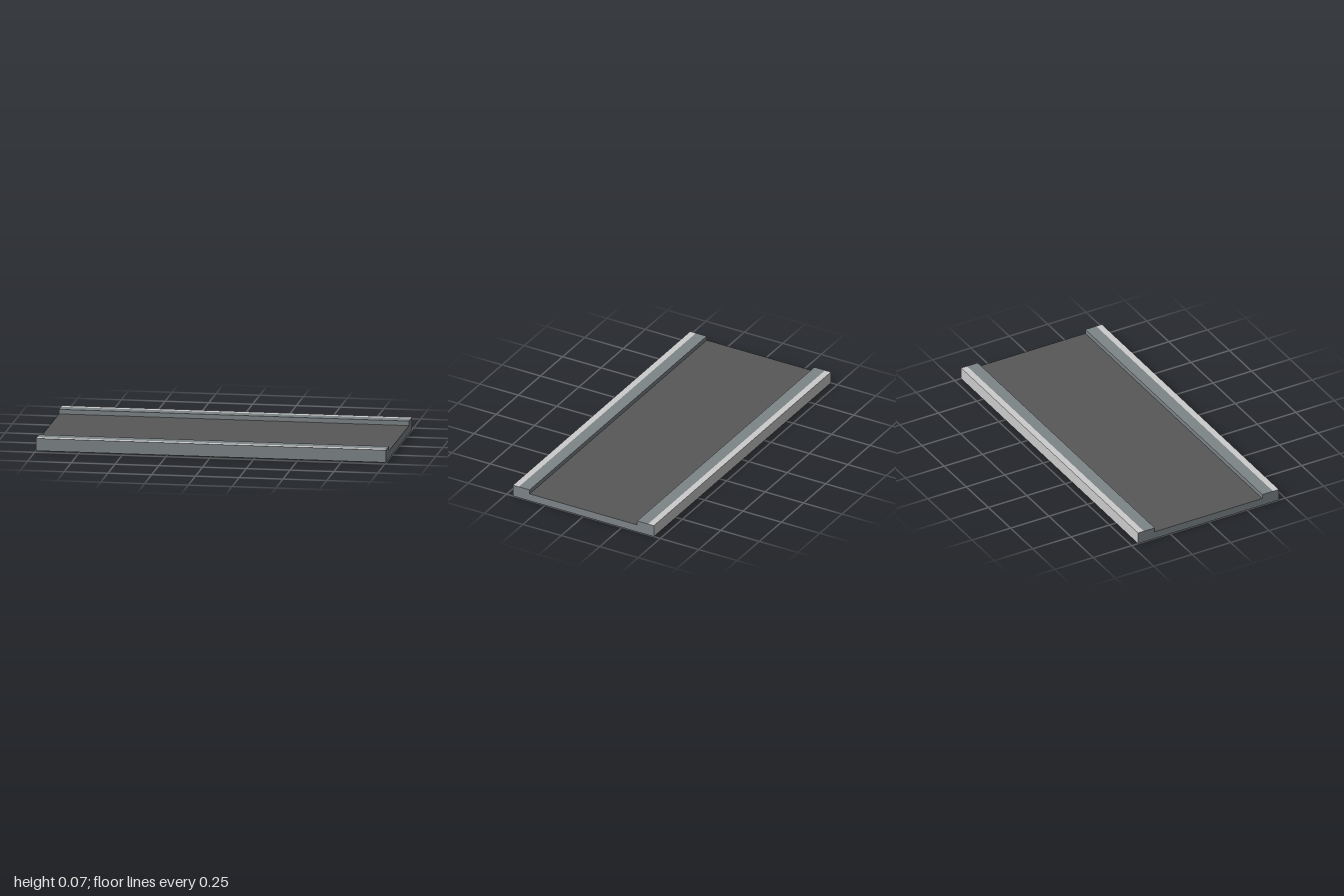
import * as THREE from 'three';

const LENGTH = 2;

export function createModel() {
  const mat = (name, color) => {
    const m = new THREE.MeshStandardMaterial({ color });
    m.name = name;
    return m;
  };
  const asphalt = mat('asphalt', 0x585858);
  const stone = mat('kerbStone', 0x7d8588);
  const concrete = mat('paleConcrete', 0xcccccc);

  const model = new THREE.Group();
  model.name = 'roadSection';

  // Full-length strip from z0 to z1; materials run +x, -x, +y, -y, +z, -z
  function strip(name, z0, z1, height, materials) {
    const geo = new THREE.BoxGeometry(LENGTH, height, z1 - z0);
    const mesh = new THREE.Mesh(geo, materials);
    mesh.name = name;
    mesh.position.set(0, height / 2, (z0 + z1) / 2);
    model.add(mesh);
  }

  // Sunken carriageway
  strip('roadSurface', -0.35, 0.35, 0.045, [stone, stone, asphalt, concrete, stone, stone]);

  // Raised kerbs
  const kerb = [stone, stone, stone, concrete, stone, stone];
  strip('frontKerb', 0.35, 0.42, 0.071, kerb);
  strip('backKerb', -0.42, -0.35, 0.071, kerb);

  // Pale outer pavement edges
  const edge = [stone, stone, concrete, concrete, stone, concrete];
  strip('frontPavementEdge', 0.42, 0.458, 0.071, edge);
  strip('backPavementEdge', -0.458, -0.42, 0.071, edge);

  return model;
}
